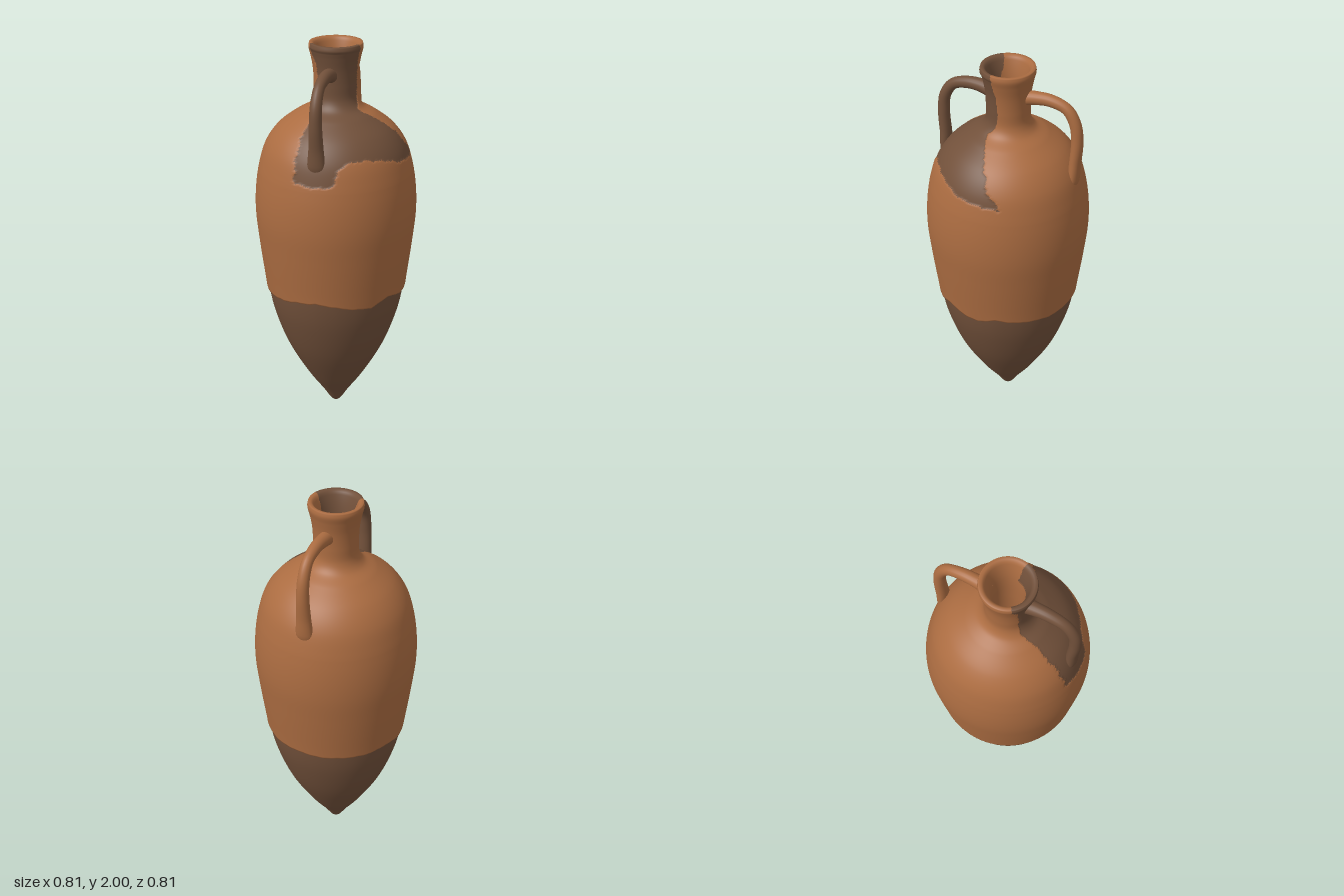
import * as THREE from 'three';

const COLS = 224;
const clay = new THREE.MeshStandardMaterial({ color: 0xab6c41 });
clay.name = 'terracotta';
const dark = new THREE.MeshStandardMaterial({ color: 0x71503a });
dark.name = 'dark restored clay';

// piecewise linear lookup in [key, value] pairs
function lookup(table, k) {
  if (k <= table[0][0]) return table[0][1];
  for (let i = 1; i < table.length; i++) {
    const [k0, v0] = table[i - 1], [k1, v1] = table[i];
    if (k <= k1) return v0 + (v1 - v0) * (k - k0) / (k1 - k0);
  }
  return table[table.length - 1][1];
}
const curve = (pts) => new THREE.CatmullRomCurve3(pts.map(([r, y]) => new THREE.Vector3(r, y, 0)), false, 'centripetal');
const rough = (t) => 0.5 * Math.sin(t) + 0.3 * Math.sin(2.3 * t + 1) + 0.2 * Math.sin(4.7 * t + 2);

// outer profile from the tip to the rim, and inner profile from the rim down
const outer = curve([[0, 0], [0.025, 0.02], [0.07, 0.09], [0.145, 0.2], [0.255, 0.4], [0.327, 0.6], [0.355, 0.72],
  [0.37, 0.82], [0.392, 1.0], [0.405, 1.15], [0.4, 1.28], [0.38, 1.4], [0.347, 1.5], [0.29, 1.58], [0.2, 1.65],
  [0.135, 1.69], [0.112, 1.73], [0.108, 1.8], [0.112, 1.88], [0.123, 1.94], [0.132, 1.98], [0.128, 2.0]])
  .getSpacedPoints(360).map((p) => [p.x, p.y]);
const inner = curve([[0.128, 2.0], [0.11, 1.998], [0.097, 1.97], [0.082, 1.91], [0.075, 1.84], [0.075, 1.7],
  [0.085, 1.4], [0.075, 1.2], [0.04, 1.13], [0, 1.12]]).getSpacedPoints(70).map((p) => [p.x, p.y]).slice(1);
const radiusAt = (y) => lookup(outer.map(([r, h]) => [h, r]), y);

// wavy joint between the dark base and the clay body, by angle in degrees from the front
const JOINT = [[-180, 0.745], [-150, 0.74], [-110, 0.745], [-90, 0.72], [-60, 0.725], [-30, 0.735], [-15, 0.758],
  [0, 0.768], [25, 0.745], [45, 0.728], [62, 0.768], [78, 0.74], [90, 0.73], [105, 0.765], [125, 0.745],
  [150, 0.74], [180, 0.745]];
const joint = (deg) => lookup(JOINT, deg) + 0.004 * rough(deg * Math.PI / 180 * 9);

// outline of the dark patch on neck and shoulder
const PATCH_BOTTOM = [[-20, 1.415], [-12, 1.4], [0, 1.39], [14, 1.4], [18, 1.48], [25, 1.505], [40, 1.51],
  [55, 1.495], [75, 1.46], [90, 1.45], [108, 1.44]];
const PATCH_LEFT = [[1.4, -16], [1.5, -17], [1.6, -20], [1.66, -25], [1.7, -36], [1.8, -36], [1.9, -40],
  [1.95, -52], [2.0, -57]];
const PATCH_RIGHT = [[1.44, 108], [1.48, 104], [1.52, 98], [1.56, 94], [1.63, 88], [1.66, 77], [1.69, 68],
  [1.72, 84], [1.82, 88], [1.9, 81], [2.0, 75]];
function inPatch(deg, y) {
  return y > lookup(PATCH_BOTTOM, deg) + 0.006 * rough(deg * 0.5)
    && deg > lookup(PATCH_LEFT, y) + 2 * rough(y * 70)
    && deg < lookup(PATCH_RIGHT, y) + 2.5 * rough(y * 60 + 2);
}

// closed ring surface: point(row, degrees) gives [radius, y]; isDark(row, degrees, y) picks the colour
function ringSurface(rows, point, isDark) {
  const pos = [], flags = [], tris = [[], []];
  for (let i = 0; i <= rows; i++) {
    for (let j = 0; j < COLS; j++) {
      const deg = j / COLS * 360 - 180, a = deg * Math.PI / 180;
      const [r, y] = point(i, deg);
      const d = isDark(i, deg, y);
      const rr = Math.max(0, d === 2 ? r - 0.004 : r);
      pos.push(rr * Math.sin(a), y, rr * Math.cos(a));
      flags.push(d ? 1 : 0);
    }
  }
  const add = (a, b, c) => tris[flags[a] + flags[b] + flags[c] >= 2 ? 1 : 0].push(a, b, c);
  for (let i = 0; i < rows; i++) {
    for (let j = 0; j < COLS; j++) {
      const k = (j + 1) % COLS;
      const a = i * COLS + j, b = i * COLS + k, c = b + COLS, d = a + COLS;
      add(a, b, c);
      add(a, c, d);
    }
  }
  const geo = new THREE.BufferGeometry();
  geo.setAttribute('position', new THREE.Float32BufferAttribute(pos, 3));
  geo.setIndex([...tris[0], ...tris[1]]);
  geo.addGroup(0, tris[0].length, 0);
  geo.addGroup(tris[0].length, tris[1].length, 1);
  geo.computeVertexNormals();
  return geo;
}

// handle: a tube whose oval section changes along its length; sizes are [t, half width, half depth]
function handleGeometry(points, sizes) {
  const path = new THREE.CatmullRomCurve3(points.map(([z, y]) => new THREE.Vector3(0, y, z)));
  const seg = 48, sides = 20;
  const geo = new THREE.TubeGeometry(path, seg, 1, sides);
  const p = geo.attributes.position, v = new THREE.Vector3();
  for (let i = 0; i < p.count; i++) {
    const t = Math.floor(i / (sides + 1)) / seg;
    const c = path.getPointAt(t);
    v.fromBufferAttribute(p, i).sub(c);
    const w = lookup(sizes.map((s) => [s[0], s[1]]), t), d = lookup(sizes.map((s) => [s[0], s[2]]), t);
    p.setXYZ(i, v.x * w, c.y + v.y * d, c.z + v.z * d);
  }
  geo.computeVertexNormals();
  // weld the normals where the tube closes on itself
  const n = geo.attributes.normal, m = new THREE.Vector3();
  for (let i = 0; i <= seg; i++) {
    const a = i * (sides + 1), b = a + sides;
    v.fromBufferAttribute(n, a).add(m.fromBufferAttribute(n, b)).normalize();
    n.setXYZ(a, v.x, v.y, v.z);
    n.setXYZ(b, v.x, v.y, v.z);
  }
  return geo;
}

export function createModel() {
  const group = new THREE.Group();
  const add = (name, geo, mat) => {
    const mesh = new THREE.Mesh(geo, mat);
    mesh.name = name;
    group.add(mesh);
  };

  // pointed base, slightly tucked under the body
  add('pointedBase', ringSurface(30, (i, deg) => {
    const t = i / 30, y = (joint(deg) + 0.004) * Math.pow(t, 1.2);
    return [radiusAt(y) - 0.009 * Math.pow(t, 8), y];
  }, () => 1), [clay, dark]);

  // body, shoulder, neck and mouth, with the dark patch recessed into it
  const belly = 30, bellyTop = 1.36;
  const upper = outer.filter(([, y]) => y > bellyTop);
  const rim = belly + upper.length;
  const profile = [...upper, ...inner];
  add('body', ringSurface(belly + profile.length - 1, (i, deg) => {
    if (i >= belly) return profile[i - belly];
    const t = i / belly, y0 = joint(deg);
    const y = y0 + (bellyTop - y0) * Math.pow(t, 1.5);
    return [radiusAt(y) + 0.003 * Math.exp(-t * 6) - (i === 0 ? 0.012 : 0), y];
  }, (i, deg, y) => {
    if (i < belly || (i >= rim && y < 1.88) || !inPatch(deg, y)) return 0;
    return i < rim && y < 1.97 ? 2 : 1;
  }), [clay, dark]);

  // handles from neck to shoulder, front one dark and back one clay
  const sizes = [[0, 0.036, 0.036], [0.12, 0.031, 0.031], [0.3, 0.026, 0.027], [0.55, 0.03, 0.029],
    [0.75, 0.036, 0.028], [0.9, 0.045, 0.028], [1, 0.035, 0.015]];
  add('frontHandle', handleGeometry([[0.085, 1.855], [0.14, 1.868], [0.21, 1.868], [0.285, 1.843], [0.331, 1.775],
    [0.342, 1.68], [0.335, 1.56], [0.333, 1.47], [0.32, 1.41]], sizes), dark);
  add('backHandle', handleGeometry([[-0.085, 1.855], [-0.14, 1.865], [-0.22, 1.868], [-0.3, 1.84], [-0.342, 1.77],
    [-0.354, 1.68], [-0.348, 1.56], [-0.342, 1.47], [-0.325, 1.4]], sizes), clay);

  return group;
}
